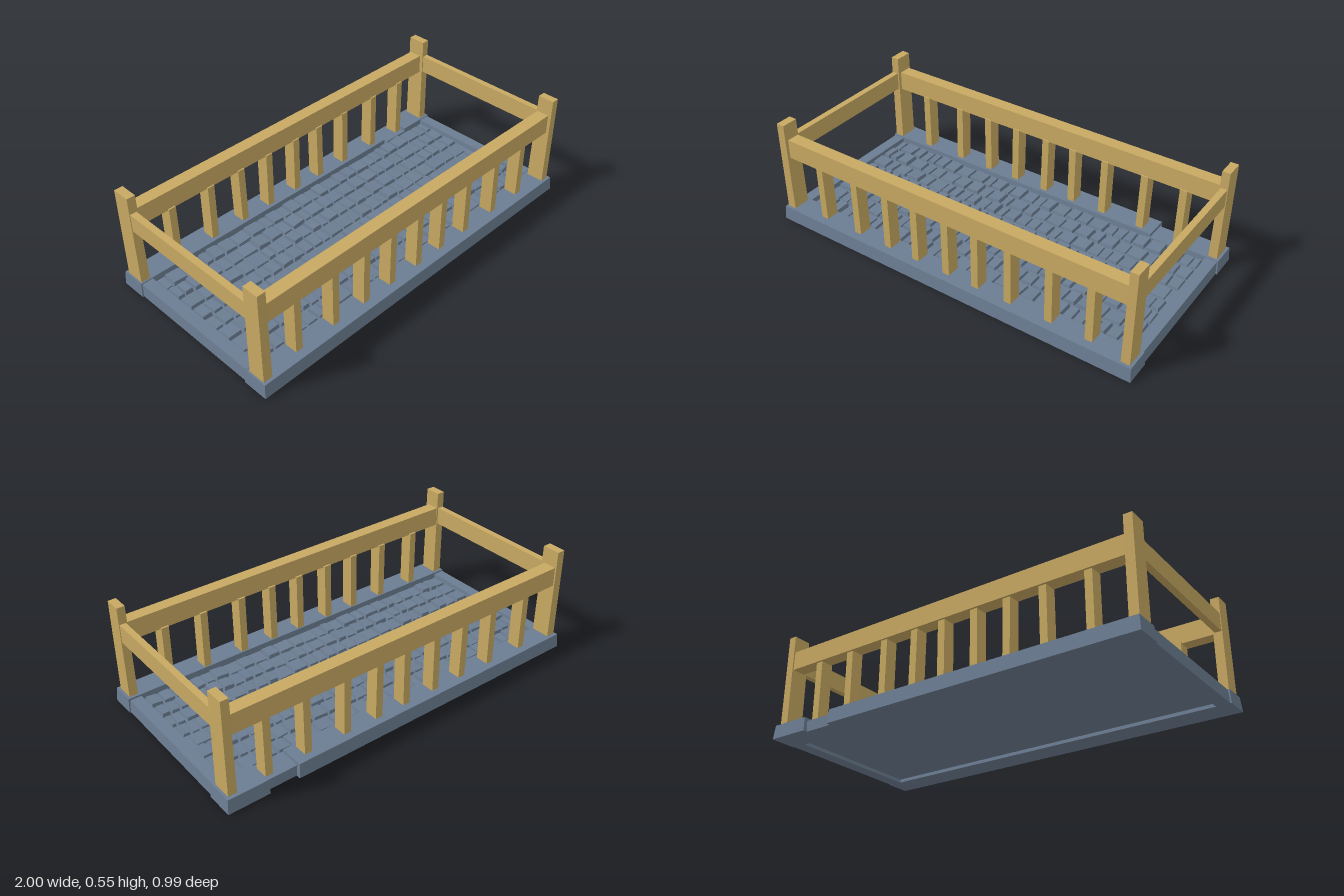
import * as THREE from 'three';

const wood = new THREE.MeshStandardMaterial({ color: 0xc8a962 });
wood.name = 'wood';
const stone = new THREE.MeshStandardMaterial({ color: 0x6c7d92 });
stone.name = 'slateStone';

// small seeded generator for hand-hewn irregularity
function makeRandom(seed) {
  let s = seed;
  return () => {
    s = (s * 16807) % 2147483647;
    return s / 2147483647;
  };
}

export function createModel() {
  const model = new THREE.Group();
  model.name = 'railedStoneBridgeDeck';
  const random = makeRandom(41);
  const jitter = (a) => (random() - 0.5) * 2 * a;

  // box between two corners; the top is drawn in by bevel and sheared by lean
  function block(parent, name, material, [x0, x1], [y0, y1], [z0, z1], bevel = 0, leanX = 0) {
    const w = x1 - x0, h = y1 - y0, d = z1 - z0;
    const geometry = new THREE.BoxGeometry(w, h, d);
    const p = geometry.attributes.position;
    for (let i = 0; i < p.count; i++) {
      if (p.getY(i) > 0) {
        p.setX(i, p.getX(i) - Math.sign(p.getX(i)) * bevel + leanX);
        p.setZ(i, p.getZ(i) - Math.sign(p.getZ(i)) * bevel);
      }
    }
    geometry.computeVertexNormals();
    const mesh = new THREE.Mesh(geometry, material);
    mesh.name = name;
    mesh.position.set((x0 + x1) / 2, (y0 + y1) / 2, (z0 + z1) / 2);
    parent.add(mesh);
    return mesh;
  }

  const group = (name) => {
    const g = new THREE.Group();
    g.name = name;
    model.add(g);
    return g;
  };

  // stone kerb around the deck, with a worn notch near the back left corner
  const kerb = group('kerb');
  const low = 0.012;
  block(kerb, 'frontKerb', stone, [-1, 1], [low, 0.084], [0.365, 0.495], 0.006);
  block(kerb, 'backKerb', stone, [-1, 0.64], [low, 0.084], [-0.495, -0.36], 0.006);
  block(kerb, 'backKerbNotch', stone, [0.63, 0.81], [low, 0.068], [-0.472, -0.36]);
  block(kerb, 'backKerbCorner', stone, [0.79, 1], [low, 0.084], [-0.495, -0.355], 0.006);
  for (const side of [-1, 1]) {
    const xs = side > 0 ? [0.925, 0.993] : [-0.993, -0.925];
    block(kerb, 'endKerb', stone, xs, [low, 0.079], [-0.37, 0.37], 0.005);
  }

  // recessed deck slab and its rows of rough cobbles
  const deck = group('deck');
  block(deck, 'deckSlab', stone, [-0.94, 0.94], [0.03, 0.052], [-0.38, 0.38]);
  const rows = 8, rowDepth = 0.72 / rows;
  for (let r = 0; r < rows; r++) {
    const z = -0.36 + r * rowDepth;
    let x = -0.925;
    while (x < 0.9) {
      const end = Math.min(x + 0.045 + random() * 0.05, 0.925);
      const cobble = block(deck, 'cobble', stone, [x + 0.003, end - 0.003], [0.045, 0.067 + jitter(0.006)],
        [z + 0.004 + jitter(0.003), z + rowDepth - 0.004 + jitter(0.003)], 0.005);
      cobble.rotation.set(jitter(0.05), jitter(0.05), jitter(0.07));
      x = end;
    }
  }

  // corner posts
  const posts = group('cornerPosts');
  for (const sx of [-1, 1]) {
    for (const sz of [-1, 1]) {
      const xs = sx > 0 ? [0.937, 0.981] : [-0.986, -0.939];
      const zs = sz > 0 ? [0.385, 0.474] : [-0.471, -0.374];
      block(posts, 'cornerPost', wood, xs, [0.075, 0.566], zs, 0.002);
    }
  }

  // long handrails with their balusters
  const balusterXs = [-0.76, -0.54, -0.35, -0.18, 0, 0.165, 0.345, 0.56, 0.765];
  for (const side of [-1, 1]) {
    const railing = group(side > 0 ? 'frontRailing' : 'backRailing');
    const zs = side > 0 ? [0.388, 0.457] : [-0.463, -0.392];
    block(railing, 'handrail', wood, [-0.945, 0.943], [0.38, 0.479], zs, 0.002);
    for (const x of balusterXs) {
      const bz = side > 0 ? [0.378, 0.446] : [-0.452, -0.385];
      block(railing, 'baluster', wood, [x - 0.019, x + 0.019], [0.07, 0.386], bz, 0, jitter(0.004));
    }
  }

  // short end rails
  const ends = group('endRails');
  block(ends, 'leftEndRail', wood, [0.945, 0.976], [0.386, 0.479], [-0.39, 0.395]);
  block(ends, 'rightEndRail', wood, [-0.981, -0.948], [0.386, 0.479], [-0.39, 0.395]);

  return model;
}
